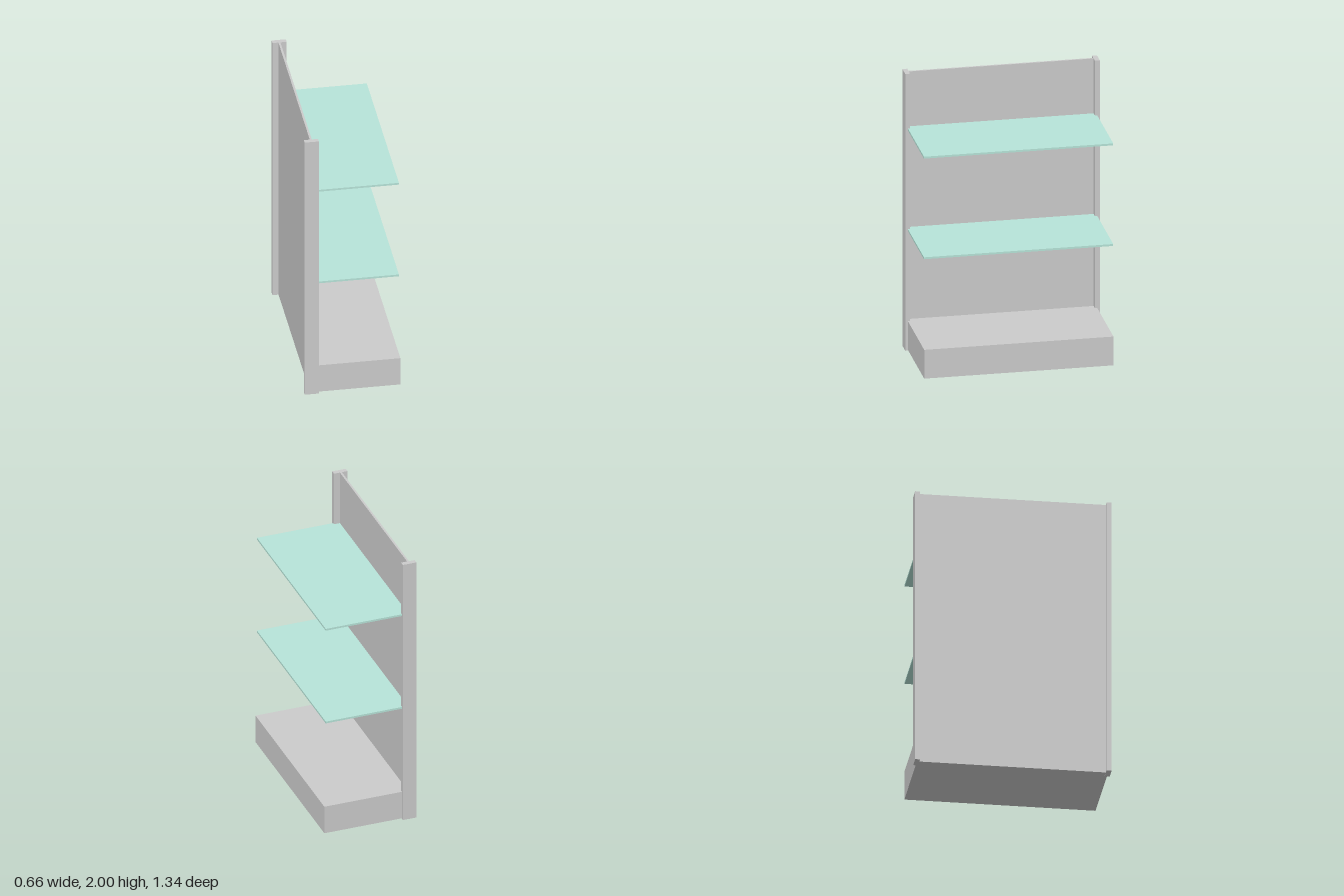
import * as THREE from 'three';

const grey = new THREE.MeshStandardMaterial({ color: 0xcccccc });
const green = new THREE.MeshStandardMaterial({ color: 0xb7e4d9 });

// Box given by its min and max on each axis
function slab(name, [x0, x1], [y0, y1], [z0, z1], material) {
  const mesh = new THREE.Mesh(new THREE.BoxGeometry(x1 - x0, y1 - y0, z1 - z0), material);
  mesh.position.set((x0 + x1) / 2, (y0 + y1) / 2, (z0 + z1) / 2);
  mesh.name = name;
  return mesh;
}

export function createModel() {
  const group = new THREE.Group();
  group.name = 'shelvingUnit';

  // Upright posts at both ends
  group.add(slab('leftPost', [-0.33, -0.232], [0, 2], [0.637, 0.671], grey));
  group.add(slab('rightPost', [-0.33, -0.232], [0, 2], [-0.671, -0.637], grey));

  // Thin panel held between the posts
  group.add(slab('backPanel', [-0.289, -0.275], [0.003, 2], [-0.637, 0.637], grey));

  // Plinth reaching back to the panel
  group.add(slab('base', [-0.275, 0.33], [0.004, 0.212], [-0.653, 0.653], grey));

  // Coloured shelves
  [['lowerShelf', 0.87], ['upperShelf', 1.597]].forEach(([name, y]) => {
    group.add(slab(name, [-0.275, 0.32], [y - 0.007, y + 0.007], [-0.653, 0.653], green));
  });

  return group;
}
